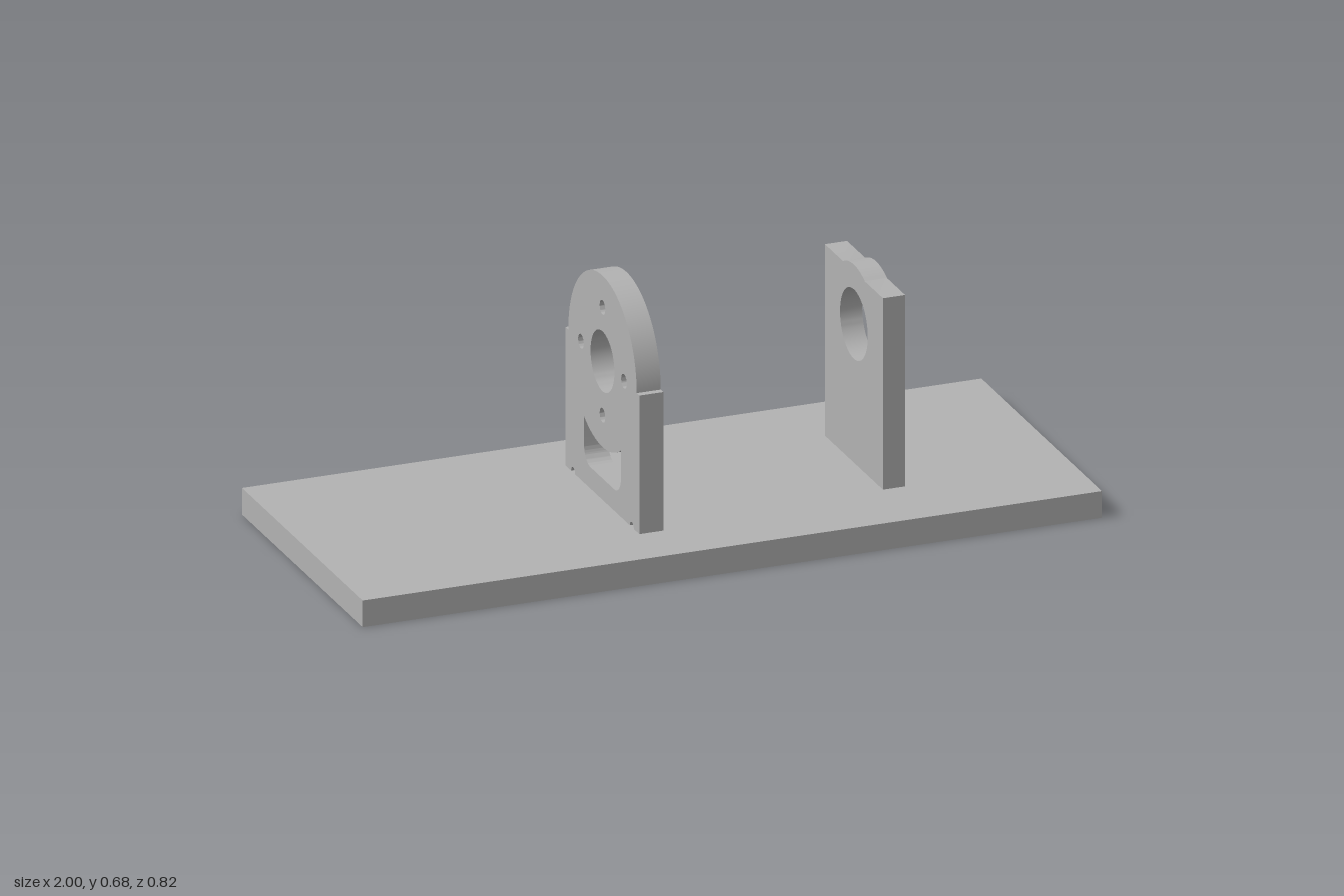
import * as THREE from 'three';
import { toCreasedNormals } from 'three/addons/utils/BufferGeometryUtils.js';

const BASE_TOP = 0.072; // top of the base plate
const AXIS_Y = 0.447;   // height of the shaft axis

const grey = new THREE.MeshStandardMaterial({ color: 0xb2b2b2 });
grey.name = 'plainGrey';

function circleHole(u, v, r) {
  const path = new THREE.Path();
  path.absarc(u, v, r, 0, Math.PI * 2, true);
  return path;
}

// Extrude a profile drawn in the z-y plane along x, starting at x0
function uprightPlate(name, shape, x0, thickness) {
  const raw = new THREE.ExtrudeGeometry(shape, { depth: thickness, bevelEnabled: false, curveSegments: 32 });
  const geometry = toCreasedNormals(raw, 0.5);
  geometry.rotateY(Math.PI / 2);
  geometry.translate(x0, 0, 0);
  const mesh = new THREE.Mesh(geometry, grey);
  mesh.name = name;
  return mesh;
}

// Round-topped plate with shoulders, relief notches, bolt holes and a lower slot
function motorPlateShape() {
  const half = 0.25, domeR = 0.232, notchU = 0.199, notchR = 0.0135;
  const s = new THREE.Shape();
  s.moveTo(-half, BASE_TOP);
  s.lineTo(-notchU - notchR, BASE_TOP);
  s.absarc(-notchU, BASE_TOP, notchR, Math.PI, 0, true);
  s.lineTo(notchU - notchR, BASE_TOP);
  s.absarc(notchU, BASE_TOP, notchR, Math.PI, 0, true);
  s.lineTo(half, BASE_TOP);
  s.lineTo(half, AXIS_Y);
  s.lineTo(domeR, AXIS_Y);
  s.absarc(0, AXIS_Y, domeR, 0, Math.PI, false);
  s.lineTo(-half, AXIS_Y);
  s.closePath();

  s.holes.push(circleHole(0, AXIS_Y, 0.081));
  for (let i = 0; i < 4; i++) {
    const a = i * Math.PI / 2;
    s.holes.push(circleHole(0.146 * Math.cos(a), AXIS_Y + 0.146 * Math.sin(a), 0.019));
  }

  // Slot: top edge follows the dome's circle, bottom corners rounded
  const w = 0.125, bottom = 0.13, r = 0.045;
  const a = Math.acos(w / domeR);
  const slot = new THREE.Path();
  slot.moveTo(-w, AXIS_Y - domeR * Math.sin(a));
  slot.absarc(0, AXIS_Y, domeR, Math.PI + a, 2 * Math.PI - a, false);
  slot.lineTo(w, bottom + r);
  slot.absarc(w - r, bottom + r, r, 0, -Math.PI / 2, true);
  slot.lineTo(-w + r, bottom);
  slot.absarc(-w + r, bottom + r, r, -Math.PI / 2, -Math.PI, true);
  slot.closePath();
  s.holes.push(slot);
  return s;
}

// Square plate with a shallow raised arc over the bearing bore
function bearingPlateShape() {
  const half = 0.197, top = 0.59, arcR = 0.161;
  const a = Math.asin((top - AXIS_Y) / arcR);
  const s = new THREE.Shape();
  s.moveTo(-half, BASE_TOP);
  s.lineTo(half, BASE_TOP);
  s.lineTo(half, top);
  s.lineTo(arcR * Math.cos(a), top);
  s.absarc(0, AXIS_Y, arcR, a, Math.PI - a, false);
  s.lineTo(-half, top);
  s.closePath();
  s.holes.push(circleHole(0, AXIS_Y, 0.094));
  return s;
}

export function createModel() {
  const model = new THREE.Group();
  model.name = 'shaftMount';

  const base = new THREE.Mesh(new THREE.BoxGeometry(2, BASE_TOP, 0.82), grey);
  base.name = 'basePlate';
  base.position.y = BASE_TOP / 2;

  model.add(
    base,
    uprightPlate('motorPlate', motorPlateShape(), -0.188, 0.065),
    uprightPlate('bearingPlate', bearingPlateShape(), 0.492, 0.06)
  );
  return model;
}
